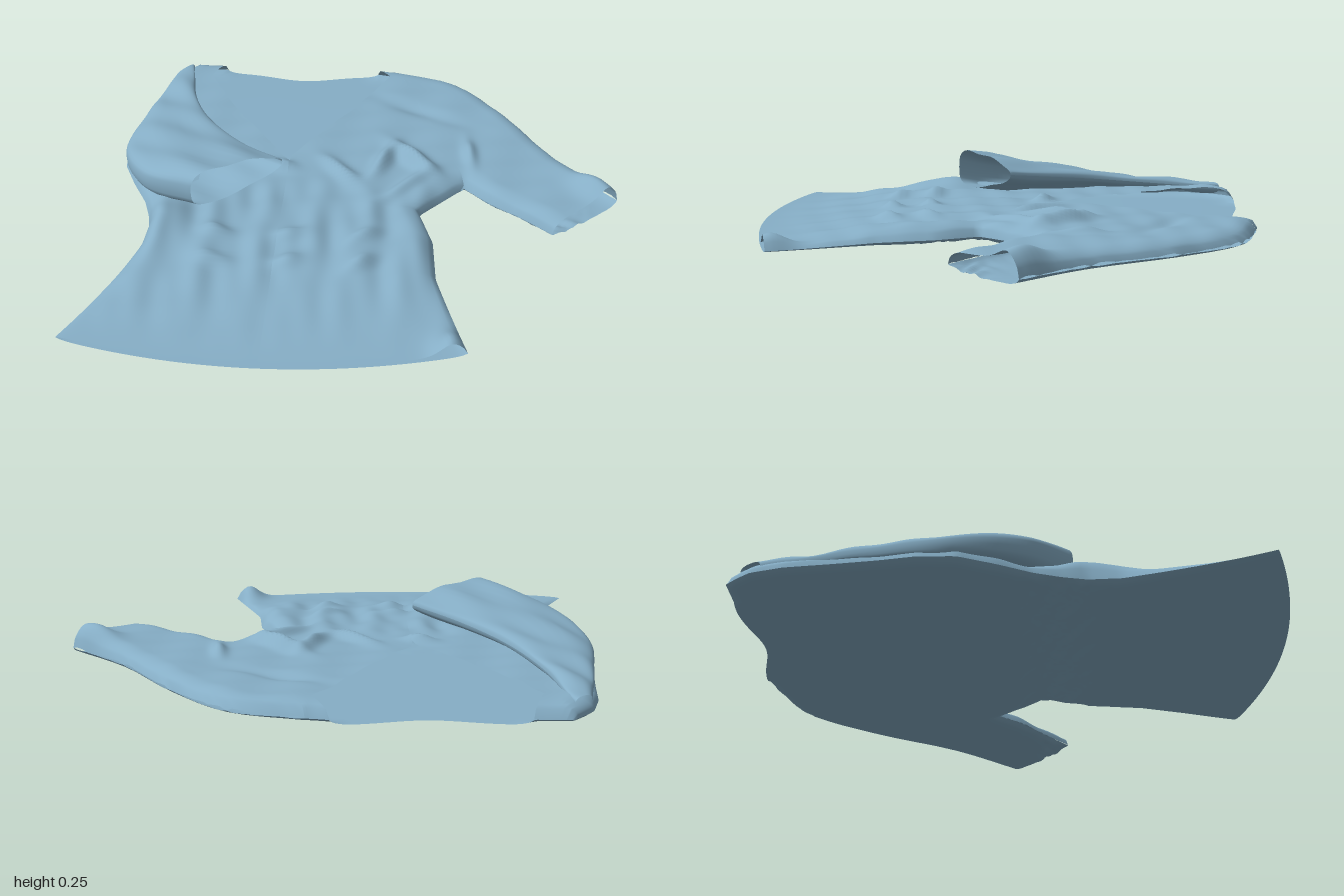
import * as THREE from 'three';

const cloth = new THREE.MeshStandardMaterial({ color: 0x86aec6, side: THREE.DoubleSide });
const { lerp, smoothstep, clamp } = THREE.MathUtils;

// Smooth line through [x, z, y] points
const smooth = (pts) => new THREE.CatmullRomCurve3(pts.map(([x, z, y = 0]) => new THREE.Vector3(x, y, z)));
const sampled = (curve) => curve.getPoints(16).map((p) => [p.x, p.z]);

// Outlines in plan: [x, z]
const leftSide = sampled(smooth([[-0.77, -0.95], [-0.86, -0.84], [-0.915, -0.5], [-0.95, -0.2],
  [-0.82, 0.08], [-0.78, 0.28], [-0.88, 0.56], [-1, 0.85]]));
const rightSide = [[0.1, -0.95], [0.4, -0.1], [0.23, 0.09], [0.285, 0.25], [0.3, 0.45], [0.42, 0.86]];
const neckLeft = [[-0.64, -0.95], [-0.69, -0.82], [-0.56, -0.58], [-0.29, -0.18], [-0.29, 0.85]];
const neckRight = [[0.02, -0.95], [0.08, -0.86], [-0.07, -0.58], [-0.29, -0.22], [-0.29, 0.85]];
const sleeveInner = smooth([[0.4, -0.1], [0.43, -0.07], [0.5, 0], [0.61, 0.08], [0.73, 0.18]]);
const sleeveOuter = smooth([[0.1, -0.95], [0.36, -0.86], [0.57, -0.62], [0.77, -0.3], [0.99, -0.06]]);

// Closed seams, towards which the cloth tapers
const seams = [leftSide, rightSide.slice(1), sampled(sleeveInner), sampled(sleeveOuter),
  [[-0.77, -0.95], [-0.64, -0.95]], [[0.02, -0.95], [0.1, -0.95]]];

// Creases: x, z, angle, half length, half width, height
const creases = [
  [0.2, -0.22, 0.9, 0.13, 0.035, 0.05], [0.08, -0.2, 1.9, 0.11, 0.03, 0.04],
  [0.18, -0.04, 2.3, 0.12, 0.03, 0.03], [-0.08, -0.12, 0.9, 0.12, 0.03, 0.03],
  [-0.32, -0.15, 0.4, 0.06, 0.03, 0.03], [0.42, -0.28, 1.5, 0.09, 0.025, 0.025],
  [0.91, -0.07, 0.8, 0.12, 0.07, 0.05], [0.2, -0.6, 0.5, 0.2, 0.04, -0.015],
  [-0.73, 0.24, 1, 0.12, 0.1, 0.04], [0.37, 0.82, 1.3, 0.08, 0.06, 0.06],
];
// Two rows of waist puckers
for (let i = 0; i < 6; i++) {
  const column = i % 3, row = Math.floor(i / 3);
  creases.push([-0.51 + 0.27 * column, 0.28 + 0.13 * row, 0.2 - 0.35 * column, 0.06, 0.027, 0.025]);
}

// Position along a polyline of [x, z] at a given z
function xAt(line, z) {
  let i = 1;
  while (i < line.length - 1 && line[i][1] < z) i++;
  const [a, b] = [line[i - 1], line[i]];
  return lerp(a[0], b[0], clamp((z - a[1]) / (b[1] - a[1]), 0, 1));
}

// 0 at a seam, rounding up to 1 inside
function fullness(x, z) {
  let d = 0.08;
  for (const line of seams) for (let i = 1; i < line.length; i++) {
    const [[ax, az], [bx, bz]] = [line[i - 1], line[i]];
    const dx = bx - ax, dz = bz - az;
    const t = clamp(((x - ax) * dx + (z - az) * dz) / (dx * dx + dz * dz), 0, 1);
    d = Math.min(d, Math.hypot(x - ax - t * dx, z - az - t * dz));
  }
  return Math.sqrt(1 - (1 - d / 0.08) ** 2);
}

const rim = (z) => 0.035 - 0.022 * smoothstep(z, 0, 0.85);

function frontHeight(x, z) {
  let h = 0.05 - 0.045 * smoothstep(z, 0.3, 0.85);
  const pleats = smoothstep(z, -0.15, 0.1) * (1 - smoothstep(z, 0.3, 0.85)) * smoothstep(-x, -0.4, -0.3);
  h += 0.007 * pleats * (Math.sin(x * 33 + z * 3) + 0.6 * Math.sin(x * 57 - z * 9) * Math.sin(z * 8 + x * 5));
  h += 0.004 * Math.sin(x * 17 + z * 23) * Math.sin(z * 19 - x * 9) * (1 - smoothstep(z, 0.5, 0.85));
  for (const [cx, cz, a, l, w, amp] of creases) {
    const dx = x - cx, dz = z - cz;
    const p = (dx * Math.cos(a) + dz * Math.sin(a)) / l, q = (dz * Math.cos(a) - dx * Math.sin(a)) / w;
    h += amp * Math.exp(-p * p - q * q);
  }
  return rim(z) + h * fullness(x, z);
}

function backHeight(x, z) {
  const waist = Math.exp(-(((z - 0.15) / 0.13) ** 2));
  const ripple = 0.5 + 0.5 * Math.sin(x * 45 + 4 * Math.sin(z * 30)) * Math.cos(z * 40 + x * 12);
  return lerp(rim(z), 0.004 + 0.014 * smoothstep(-z, -0.8, 0.9) + 0.018 * waist * ripple, fullness(x, z));
}

// Grid surface from a rule at(u, v) giving [x, y, z]
function surface(name, nu, nv, at, flip = false) {
  const pos = [], index = [];
  for (let j = 0; j <= nv; j++) for (let i = 0; i <= nu; i++) pos.push(...at(i / nu, j / nv));
  for (let j = 0; j < nv; j++) for (let i = 0; i < nu; i++) {
    const a = j * (nu + 1) + i, b = a + 1, c = a + nu + 1, d = c + 1;
    index.push(...(flip ? [a, b, c, b, d, c] : [a, c, b, b, c, d]));
  }
  const g = new THREE.BufferGeometry();
  g.setAttribute('position', new THREE.Float32BufferAttribute(pos, 3));
  g.setIndex(index);
  g.computeVertexNormals();
  const mesh = new THREE.Mesh(g, cloth);
  mesh.name = name;
  return mesh;
}

// Bows the hem outwards, raises the shoulders and dips the back neckline
function drape(x, z, height) {
  const hem = 0.11 * (1 - ((x + 0.29) / 0.71) ** 2) * smoothstep(z, 0.1, 0.85);
  const neck = 0.05 * Math.exp(-(((x + 0.3) / 0.18) ** 2)) - 0.018 * smoothstep(-x, -0.1, 0);
  return [x, height(x, z), z + hem + neck * smoothstep(-z, 0.5, 0.95)];
}

const bodyPanel = (name, from, to, nu, height, flip) => surface(name, nu, 100, (u, v) => {
  const z = lerp(-0.95, 0.85, v);
  return drape(lerp(xAt(from, z), xAt(to, z), u), z, height);
}, flip);

export function createModel() {
  const group = new THREE.Group();
  group.name = 'shirt';

  // Body
  group.add(bodyPanel('backPanel', leftSide, rightSide, 80, backHeight, true));
  group.add(bodyPanel('frontLeftPanel', neckRight, rightSide, 50, frontHeight));
  group.add(bodyPanel('frontRightPanel', leftSide, neckLeft, 50, frontHeight));

  // Spread sleeve
  const sleeve = (height) => (u, v) => {
    const p = sleeveInner.getPoint(v).lerp(sleeveOuter.getPoint(v), u);
    return [p.x, height(p.x, p.z), p.z];
  };
  group.add(surface('leftSleeveTop', 44, 44, sleeve(frontHeight)));
  group.add(surface('leftSleeveUnderside', 44, 44, sleeve(backHeight), true));

  // Sleeve folded over the front, open at the cuff
  const foldInner = smooth([[-0.78, -0.92, 0.07], [-0.72, -0.6, 0.1], [-0.62, -0.37, 0.13],
    [-0.47, -0.17, 0.16], [-0.3, -0.02, 0.19]]);
  const foldOuter = smooth([[-0.85, -0.84, 0.06], [-0.915, -0.5, 0.07], [-0.945, -0.2, 0.085],
    [-0.83, 0.05, 0.13], [-0.62, 0.2, 0.18]]);
  group.add(surface('rightSleeve', 40, 50, (u, v) => {
    const a = u * Math.PI * 2, c = Math.cos(a), s = Math.sin(a);
    const p = foldOuter.getPoint(v).lerp(foldInner.getPoint(v), 0.5 + 0.5 * Math.sign(c) * Math.abs(c) ** 0.8);
    const crease = 0.01 * Math.sin(p.x * 24 - p.z * 20) * Math.sin(v * 9) * Math.abs(s);
    const thickness = (0.025 + 0.04 * smoothstep(v, 0, 0.9)) * (1 - 0.5 * c * v);
    return [p.x, p.y + thickness * Math.sign(s) * Math.abs(s) ** 0.65 + crease, p.z];
  }, true));
  return group;
}
